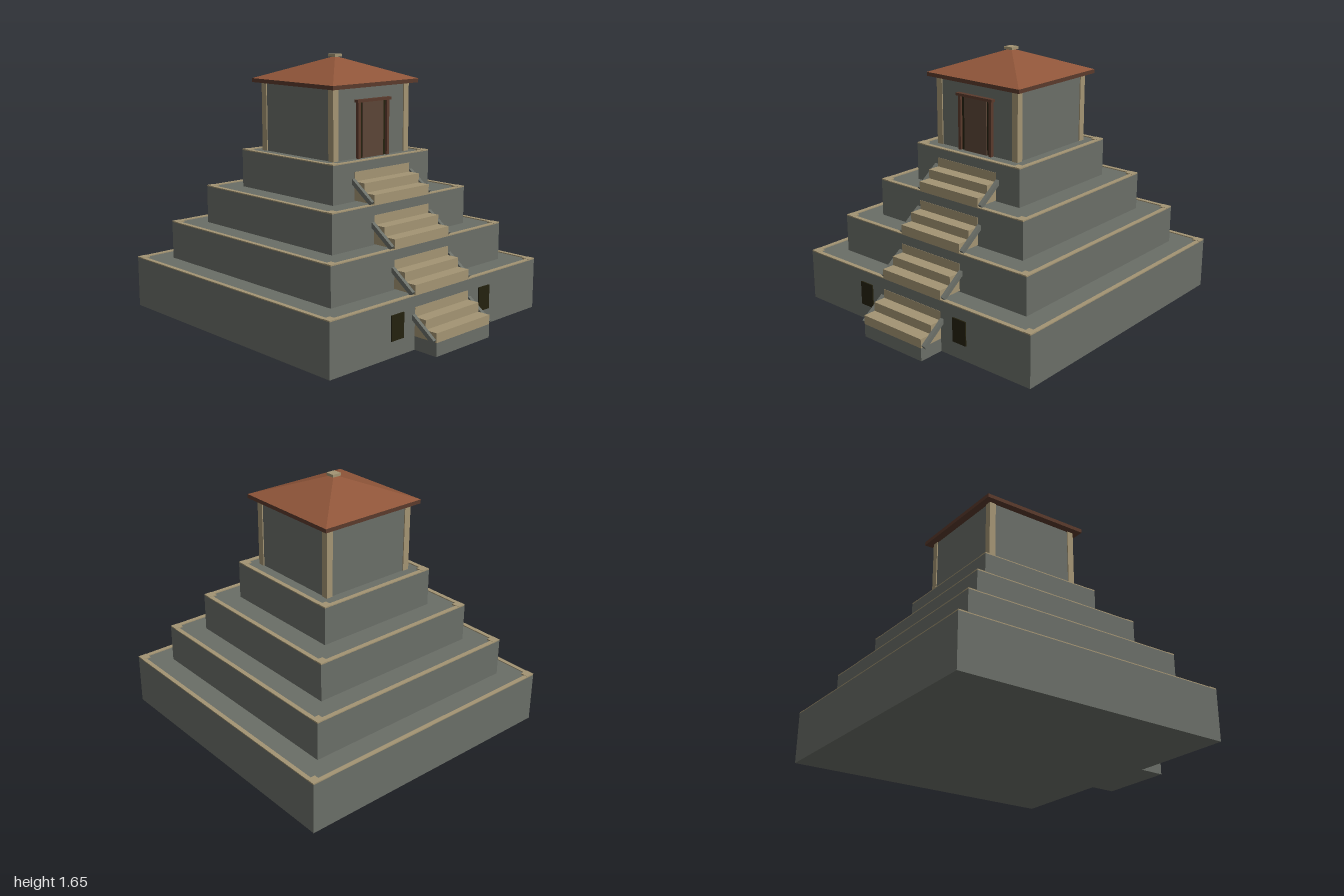
import * as THREE from 'three';

const CX = -0.085; // centre line of the tiers and the temple
const mat = (name, color) => {
  const m = new THREE.MeshStandardMaterial({ color });
  m.name = name;
  return m;
};

export function createModel() {
  const stone = mat('grey stone', 0x6a6e67);
  const tan = mat('tan stone', 0xa39473);
  const tile = mat('roof tile', 0x8f5539);
  const brown = mat('dark timber', 0x5a3a2c);
  const wood = mat('door wood', 0x5b4536);
  const dark = mat('dark opening', 0x24210e);

  const model = new THREE.Group();
  model.name = 'steppedTemple';
  const group = (name) => {
    const g = new THREE.Group();
    g.name = name;
    model.add(g);
    return g;
  };
  // Box given by its minimum and maximum on each axis
  const box = (parent, name, m, x0, x1, y0, y1, z0, z1) => {
    const b = new THREE.Mesh(new THREE.BoxGeometry(x1 - x0, y1 - y0, z1 - z0), m);
    b.position.set((x0 + x1) / 2, (y0 + y1) / 2, (z0 + z1) / 2);
    b.name = name;
    parent.add(b);
    return b;
  };

  // Tiers with a thin rim and corner blocks, each with a flight of stairs
  const halves = [0.915, 0.75, 0.585, 0.42];
  const tops = [0.325, 0.565, 0.803, 1.04];
  const rimW = 0.028, rimH = 0.006, corner = 0.055;
  halves.forEach((h, i) => {
    const tier = group('tier' + (i + 1));
    const y0 = i ? tops[i - 1] : 0, y1 = tops[i];
    box(tier, 'tierBody', stone, CX - h, CX + h, y0, y1, -h, h);
    for (const s of [-1, 1]) {
      const e = s * (h - rimW / 2);
      box(tier, 'rimLong', tan, CX - h, CX + h, y1, y1 + rimH, e - rimW / 2, e + rimW / 2);
      box(tier, 'rimShort', tan, CX + e - rimW / 2, CX + e + rimW / 2, y1, y1 + rimH, -h + rimW, h - rimW);
      for (const t of [-1, 1]) {
        const cx = CX + s * (h - corner / 2), cz = t * (h - corner / 2);
        box(tier, 'cornerBlock', tan, cx - corner / 2, cx + corner / 2, y1, y1 + rimH + 0.002,
          cz - corner / 2, cz + corner / 2);
      }
    }

    // Two projecting steps, a top riser set against the tier, and sloping rails
    const stairs = group('stairs' + (i + 1));
    const x = CX + h, base = i ? y0 + rimH : 0.083, run = 0.0835, rise = 0.058, w = 0.24;
    box(stairs, 'lowerStep', tan, x, x + 2 * run, base, base + rise, -w, w);
    box(stairs, 'middleStep', tan, x, x + run, base + rise, base + 2 * rise, -w, w);
    box(stairs, 'topRiser', tan, x - 0.004, x + 0.002, base + 2 * rise, base + 3 * rise, -w, w);
    for (const s of [-1, 1]) {
      const rail = new THREE.Mesh(new THREE.BoxGeometry(0.2, 0.028, 0.024), stone);
      rail.position.set(x + 0.075, base + 0.064, s * (w + 0.011));
      rail.rotation.z = -Math.atan2(0.12, 0.165);
      rail.name = 'stairRail';
      stairs.add(rail);
    }
  });
  box(model, 'stairBase', stone, 0.83, 0.997, 0, 0.083, -0.24, 0.24);

  // Small openings either side of the lowest stairs
  for (const s of [-1, 1])
    box(model, 'window', dark, 0.83, 0.838, 0.1, 0.253, s * 0.39 - 0.051, s * 0.39 + 0.051);

  // Temple walls and corner pillars
  const temple = group('temple');
  const floor = 1.04, eave = 1.475, wall = 0.322, pil = 0.022;
  box(temple, 'walls', stone, CX - wall, CX + wall, floor, eave, -wall, wall);
  for (const s of [-1, 1]) for (const t of [-1, 1]) {
    const px = CX + s * 0.307, pz = t * 0.307;
    box(temple, 'cornerPillar', tan, px - pil, px + pil, floor, eave, pz - pil, pz + pil);
  }

  // Door with dark gaps, posts and lintel
  const door = group('door');
  const fx = CX + wall;
  box(door, 'doorGap', dark, fx, fx + 0.008, floor, 1.385, -0.115, 0.115);
  box(door, 'doorLeaf', wood, fx, fx + 0.016, floor, 1.385, -0.09, 0.09);
  for (const s of [-1, 1])
    box(door, 'doorPost', brown, fx, fx + 0.024, floor, 1.385, s * 0.124 - 0.01, s * 0.124 + 0.01);
  box(door, 'lintel', brown, fx, fx + 0.03, 1.383, 1.4, -0.147, 0.147);

  // Hipped roof on a thin eave slab, with a cap
  const roof = group('roof');
  const rh = 0.371;
  box(roof, 'eaveSlab', brown, CX - rh, CX + rh, eave, 1.5, -rh, rh);
  const hip = new THREE.ConeGeometry(rh * Math.SQRT2, 0.14, 4, 1, false, Math.PI / 4).toNonIndexed();
  hip.computeVertexNormals();
  const hipMesh = new THREE.Mesh(hip, tile);
  hipMesh.position.set(CX, 1.57, 0);
  hipMesh.name = 'hippedRoof';
  roof.add(hipMesh);
  box(roof, 'roofCap', tan, CX - 0.031, CX + 0.031, 1.636, 1.653, -0.031, 0.031);

  return model;
}
